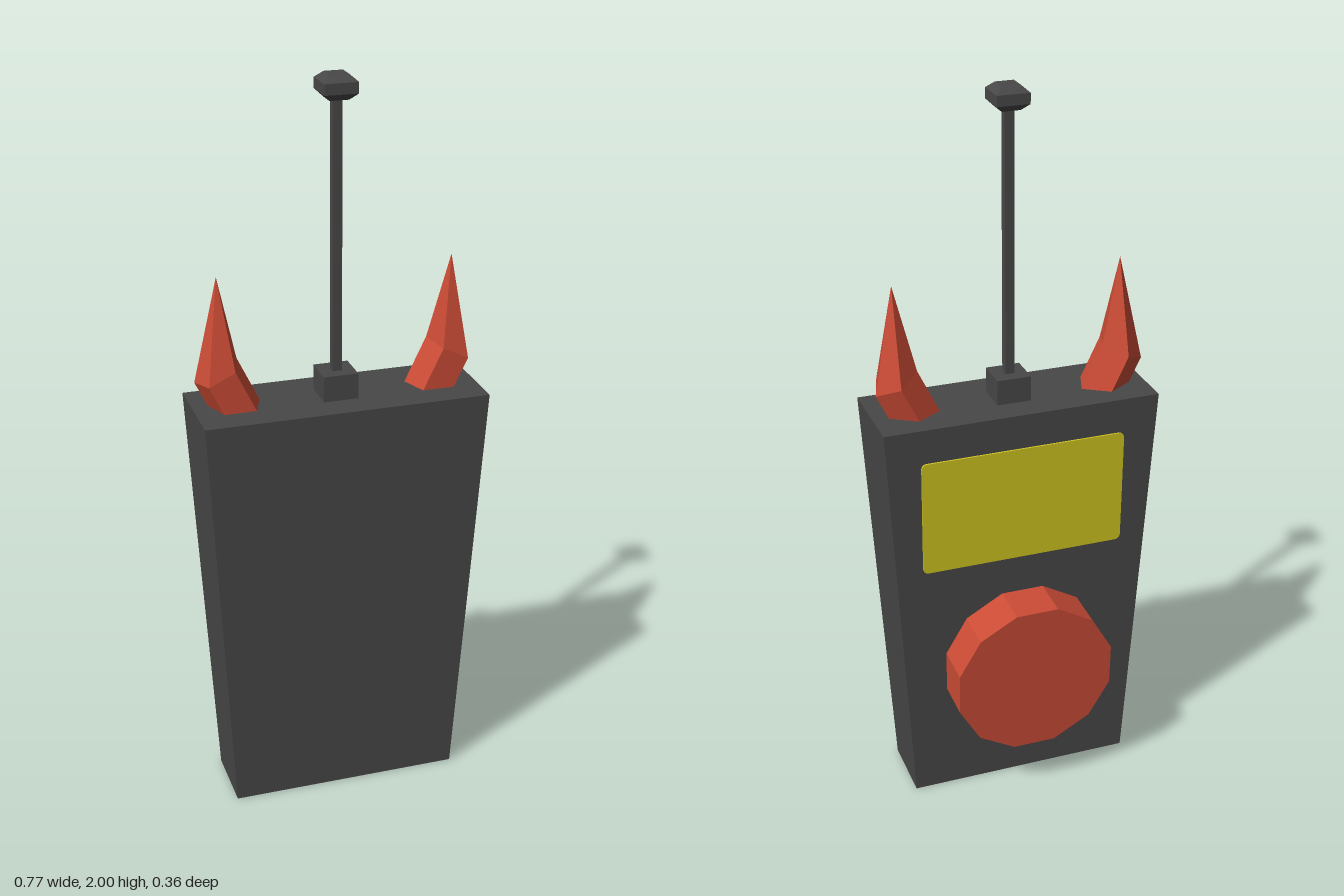
import * as THREE from 'three';

const material = (name, color) => {
  const m = new THREE.MeshStandardMaterial({ color });
  m.name = name;
  return m;
};

// Facets a geometry so every side reads as flat
function faceted(geometry) {
  const g = geometry.index ? geometry.toNonIndexed() : geometry;
  g.computeVertexNormals();
  return g;
}

// Moves every vertex by a rule
function reshape(geometry, rule) {
  const p = geometry.attributes.position;
  for (let i = 0; i < p.count; i++) p.setXYZ(i, ...rule(p.getX(i), p.getY(i), p.getZ(i)));
  return geometry;
}

// Five-sided horn: a leaning stem that bends up into a spike; side is +1 or -1
function hornGeometry(side) {
  const lean = 0.45, stem = 0.16;
  const g = new THREE.CylinderGeometry(0, 0.066, 2, 5, 2, true, Math.PI);
  return faceted(reshape(g, (x, y, z) => {
    if (y > 0.5) return [side * 0.314, 1.51, 0.053];
    const k = y > -0.5 ? 2 : 1; // the middle ring is as wide as the base
    const drop = y > -0.5 ? 0 : stem;
    return [
      side * (0.316 - Math.sin(lean) * drop) + x * k * Math.cos(lean),
      1.25 - Math.cos(lean) * drop - side * x * k * Math.sin(lean),
      0.047 + z * k,
    ];
  }));
}

// Rectangle with small rounded corners
function roundedRect(w, h, r) {
  const s = new THREE.Shape();
  const x = w / 2 - r, y = h / 2 - r;
  s.absarc(x, y, r, 0, Math.PI / 2);
  s.absarc(-x, y, r, Math.PI / 2, Math.PI);
  s.absarc(-x, -y, r, Math.PI, Math.PI * 1.5);
  s.absarc(x, -y, r, Math.PI * 1.5, Math.PI * 2);
  return s;
}

export function createModel() {
  const group = new THREE.Group();
  const grey = material('dark grey', 0x484848);
  const red = material('red', 0xcc4c36);
  const yellow = material('yellow', 0xd3c722);
  const midZ = 0.053;

  const add = (name, geometry, mat, x = 0, y = 0, z = 0) => {
    const mesh = new THREE.Mesh(geometry, mat);
    mesh.name = name;
    mesh.position.set(x, y, z);
    group.add(mesh);
    return mesh;
  };

  // Case, wider and deeper towards the top
  const body = reshape(new THREE.BoxGeometry(2, 1.155, 2), (x, y, z) =>
    y > 0 ? [x * 0.383, y, z * 0.127] : [x * 0.317, y, z * 0.096]);
  add('body', faceted(body), grey, 0, 1.155 / 2, midZ);

  // Antenna
  add('antennaBase', new THREE.BoxGeometry(0.094, 0.08, 0.094), grey, 0, 1.185, midZ - 0.001);
  add('antennaPole', new THREE.BoxGeometry(0.025, 0.74, 0.025), grey, 0, 1.58, midZ);
  const capProfile = [[0, 1.937], [0.025, 1.937], [0.044, 1.955], [0.044, 1.983], [0.025, 2], [0, 2]]
    .map(([r, y]) => new THREE.Vector2(r * Math.SQRT2, y));
  add('antennaCap', faceted(new THREE.LatheGeometry(capProfile, 4, Math.PI / 4)), grey, 0, 0, midZ);

  // Horns
  for (const side of [1, -1]) {
    add(side > 0 ? 'leftHorn' : 'rightHorn', hornGeometry(side), red);
  }

  // Large round button on the back
  const button = faceted(new THREE.CylinderGeometry(0.23, 0.23, 0.16, 12, 1, false, Math.PI / 12));
  add('button', button, red, 0, 0.389, -0.09).rotation.x = -Math.PI / 2 - 0.045;

  // Screen plate on the back
  const plate = new THREE.ExtrudeGeometry(roundedRect(0.57, 0.333, 0.015),
    { depth: 0.008, bevelEnabled: false, curveSegments: 3 });
  plate.translate(0, 0, -0.004);
  add('screen', plate, yellow, 0, 0.891, -0.0675).rotation.x = -0.027;

  return group;
}
